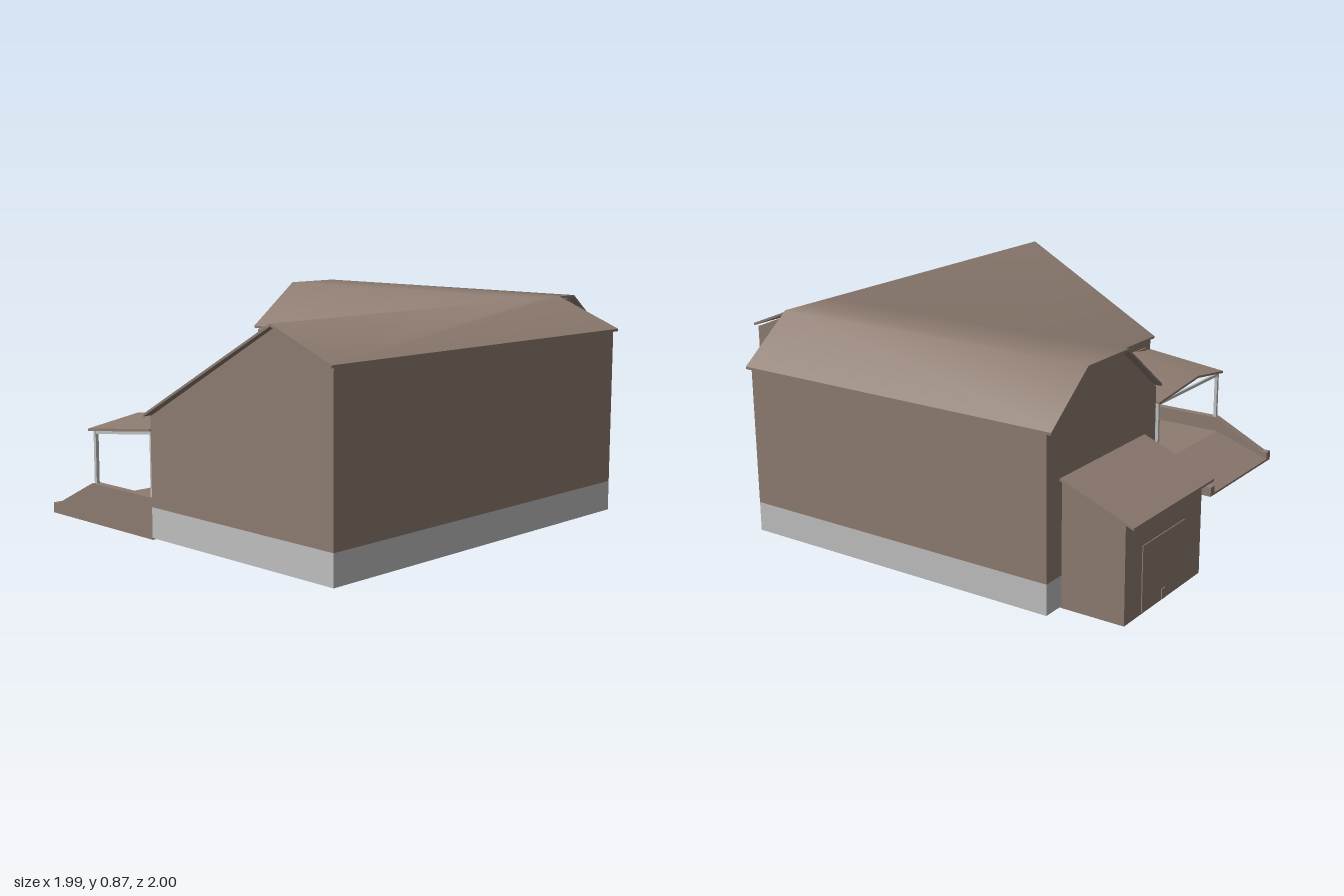
import * as THREE from 'three';

const brown = new THREE.MeshStandardMaterial({ color: 0x8d7b70, side: THREE.DoubleSide });
brown.name = 'brown';
const grey = new THREE.MeshStandardMaterial({ color: 0xbfbfbf });
grey.name = 'plinth grey';

const shapeOf = (pts) => new THREE.Shape(pts.map(([a, b]) => new THREE.Vector2(a, b)));
const extrude = (pts, depth) => new THREE.ExtrudeGeometry(shapeOf(pts), { depth, bevelEnabled: false });

// profile in (z, y), swept from x0 to x1
const alongX = (pts, x0, x1) => extrude(pts, x1 - x0).rotateY(-Math.PI / 2).translate(x1, 0, 0);
// profile in (x, y), swept from z0 to z1
const alongZ = (pts, z0, z1) => extrude(pts, z1 - z0).translate(0, 0, z0);
// plan outline in (x, z), raised from y0 to y1
const upright = (pts, y0, y1) =>
  extrude(pts.map(([x, z]) => [x, -z]), y1 - y0).rotateX(-Math.PI / 2).translate(0, y0, 0);

// thin roof skin: smooth top, underside, and a rim along every open edge
function sheet(points, faces, thick) {
  const tris = faces.flatMap((f) => f.slice(2).map((c, i) => [f[0], f[i + 1], c]));
  const n = points.length;
  const pos = [...points, ...points.map(([x, y, z]) => [x, y - thick, z])];
  const index = [];
  const edges = new Set(tris.flatMap(([a, b, c]) => [`${a},${b}`, `${b},${c}`, `${c},${a}`]));
  for (const [a, b, c] of tris) index.push(a, b, c, c + n, b + n, a + n);
  for (const e of edges) {
    const [a, b] = e.split(',').map(Number);
    if (edges.has(`${b},${a}`)) continue;
    const k = pos.length;
    pos.push(pos[a], pos[b], pos[b + n], pos[a + n]);
    index.push(k, k + 2, k + 1, k, k + 3, k + 2);
  }
  const g = new THREE.BufferGeometry();
  g.setAttribute('position', new THREE.Float32BufferAttribute(pos.flat(), 3));
  g.setIndex(index);
  g.computeVertexNormals();
  return g;
}

export function createModel() {
  const model = new THREE.Group();
  model.name = 'house';
  const add = (name, geometry, material = brown, parent = model) => {
    const m = new THREE.Mesh(geometry, material);
    m.name = name;
    parent.add(m);
    return m;
  };
  const box = (name, x0, x1, y0, y1, z0, z1, material, parent) =>
    add(name, new THREE.BoxGeometry(x1 - x0, y1 - y0, z1 - z0)
      .translate((x0 + x1) / 2, (y0 + y1) / 2, (z0 + z1) / 2), material, parent);

  // L-shaped plinth: brown underside, grey sides
  add('plinth', upright([[-0.97, 0.98], [0.65, 0.98], [0.65, 0.69], [0.98, 0.69], [0.98, -0.7],
    [0.24, -0.7], [0.24, -0.42], [0.01, -0.42], [0.01, 0.02], [-0.97, 0.02]], 0.01, 0.13), [brown, grey]);

  // walls with gable tops
  add('frontWingWalls', alongX([[0.98, 0.13], [0.98, 0.748], [0.7, 0.86], [0.02, 0.478], [0.02, 0.13]], -0.97, 0.65));
  add('sideWingWalls', alongZ([[0.24, 0.13], [0.98, 0.13], [0.98, 0.683], [0.757, 0.86], [0.493, 0.86], [0.24, 0.667]], -0.7, 0.69));
  add('entranceWalls', alongZ([[0.01, 0.13], [0.3, 0.13], [0.3, 0.71], [0.24, 0.667], [0.01, 0.49]], -0.42, 0.1));

  // main roof with a valley over the inner corner
  add('mainRoof', sheet([
    [-1, 0.76, 1], [0.655, 0.76, 1], [-1, 0.875, 0.71], [0.49, 0.875, 0.71], [0.655, 0.875, 0.71],
    [0.76, 0.875, 0.71], [0.99, 0.695, 0.71], [-1, 0.49, 0.015], [-0.01, 0.49, 0.015],
    [0.76, 0.875, -0.725], [0.99, 0.695, -0.725], [0.49, 0.875, -0.725],
    [0.24, 0.683, -0.725], [0.24, 0.683, -0.44], [-0.01, 0.49, -0.44],
  ], [
    [0, 1, 4, 3, 2], [2, 3, 8, 7], [3, 11, 12, 13], [3, 13, 14, 8], [9, 11, 3, 4, 5], [5, 6, 10, 9],
  ], 0.01));

  // lean-to shed at the back
  const shed = new THREE.Group();
  shed.name = 'shed';
  model.add(shed);
  add('shedWalls', alongX([[-0.69, 0.003], [-0.69, 0.492], [-0.96, 0.385], [-0.96, 0.003]], 0.34, 0.885), brown, shed);
  add('shedRoof', sheet([[0.32, 0.503, -0.69], [0.9, 0.503, -0.69], [0.9, 0.383, -1], [0.32, 0.383, -1]],
    [[0, 1, 2, 3]], 0.009), brown, shed);
  box('shedDoor', 0.47, 0.77, 0.01, 0.265, -0.964, -0.96, brown, shed);
  box('shedDoorHandle', 0.61, 0.635, 0.01, 0.05, -0.968, -0.963, brown, shed);

  // framed openings: local +z is the outward side of the wall
  function opening(name, x, y0, y1, z, width, yaw) {
    const g = new THREE.Group();
    g.name = name;
    const h = y1 - y0, t = 0.012;
    const ring = shapeOf([[-width / 2, 0], [width / 2, 0], [width / 2, h], [-width / 2, h]]);
    const w = width / 2 - t;
    ring.holes.push(new THREE.Path([[-w, t], [-w, h - t], [w, h - t], [w, t]].map((p) => new THREE.Vector2(...p))));
    add('frame', new THREE.ExtrudeGeometry(ring, { depth: 0.008, bevelEnabled: false }), brown, g);
    add('panel', new THREE.BoxGeometry(2 * w, h - 2 * t, 0.003).translate(0, h / 2, 0.0015), brown, g);
    g.position.set(x, y0, z);
    g.rotation.y = yaw;
    model.add(g);
  }
  const BACK = Math.PI, INNER = -Math.PI / 2;
  for (const z of [-0.635, -0.525])
    for (const y of [0.28, 0.5]) opening('sideWindow', 0.24, y, y + 0.15, z, 0.07, INNER);
  for (const z of [-0.29, -0.09]) opening('entranceWindow', 0.01, 0.26, 0.45, z, 0.12, INNER);
  opening('entranceDoor', 0.14, 0.13, 0.36, -0.42, 0.125, BACK);
  for (const x of [-0.115, -0.3, -0.865]) opening('courtyardWindow', x, 0.25, 0.45, 0.02, 0.11, BACK);
  opening('courtyardDoor', -0.6, 0.13, 0.4, 0.02, 0.16, BACK);

  // ramp with a landing and two sloping parapets
  add('ramp', alongX([[0.02, 0.003], [0.02, 0.1], [-0.37, 0.1], [-0.63, 0.012], [-0.63, 0.003]], -0.96, -0.39));
  for (const x of [-0.97, -0.42])
    add('parapet', alongX([[0.02, 0.003], [0.02, 0.165], [-0.36, 0.165], [-0.6, 0.045], [-0.63, 0.045], [-0.63, 0.003]], x, x + 0.035));

  // canopy: shallow pitched roof on posts and beams
  const canopy = new THREE.Group();
  canopy.name = 'canopy';
  model.add(canopy);
  add('canopyRoof', sheet([
    [-0.975, 0.43, 0.02], [-0.73, 0.465, 0.02], [-0.38, 0.43, 0.02],
    [-0.975, 0.385, -0.37], [-0.73, 0.42, -0.37], [-0.38, 0.385, -0.37],
  ], [[0, 1, 4, 3], [1, 2, 5, 4]], 0.01), brown, canopy);
  for (const x of [-0.952, -0.402]) {
    for (const [z, top] of [[-0.35, 0.38], [0.005, 0.42]])
      box('post', x - 0.007, x + 0.007, 0.16, top, z - 0.007, z + 0.007, grey, canopy);
    add('sideBeam', alongX([[0.01, 0.405], [0.01, 0.418], [-0.355, 0.376], [-0.355, 0.363]], x - 0.006, x + 0.006), grey, canopy);
  }
  box('eaveBeam', -0.952, -0.402, 0.363, 0.376, -0.356, -0.344, grey, canopy);

  return model;
}
